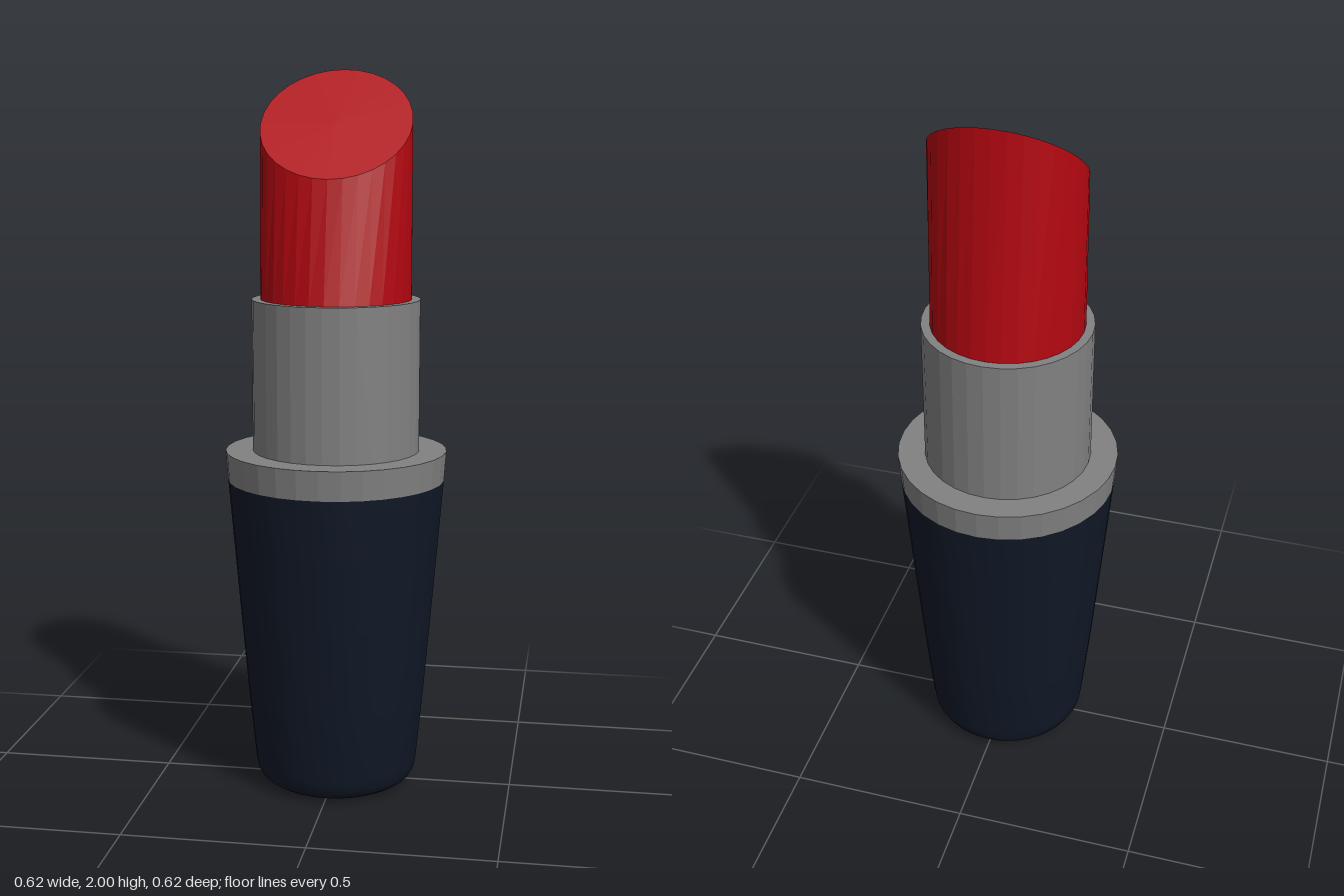
import * as THREE from 'three';
import { toCreasedNormals } from 'three/addons/utils/BufferGeometryUtils.js';

const SIDES = 32;

// Turned part from [radius, height] points, listed bottom to top
function turned(name, points, mat) {
  const lathe = new THREE.LatheGeometry(points.map(([r, y]) => new THREE.Vector2(r, y)), SIDES);
  const mesh = new THREE.Mesh(toCreasedNormals(lathe, 0.6), mat);
  mesh.name = name;
  return mesh;
}

// Stick: a round base lofted straight up to a slanted elliptical cut
function slantedStick(mat) {
  const bottom = 1.3, rim = 1.38, radius = 0.208, cutDepth = 0.147;
  const geometry = new THREE.CylinderGeometry(radius, radius, 1, SIDES, 2);
  const p = geometry.attributes.position;
  for (let i = 0; i < p.count; i++) {
    const level = p.getY(i);
    if (level > 0.25) {
      const z = p.getZ(i) * cutDepth / radius;
      p.setZ(i, z);
      p.setY(i, 1.855 - z * 0.145 / cutDepth);
    } else {
      p.setY(i, level < -0.25 ? bottom : rim);
    }
  }
  const mesh = new THREE.Mesh(geometry, mat);
  mesh.name = 'slantedStick';
  return mesh;
}

export function createModel() {
  const group = new THREE.Group();
  group.name = 'lipstick';
  const navy = new THREE.MeshStandardMaterial({ color: 0x101826 });
  const metal = new THREE.MeshStandardMaterial({ color: 0x818181, flatShading: true });
  const red = new THREE.MeshStandardMaterial({ color: 0xb20610, flatShading: true });

  // Tapered handle with a rounded foot
  group.add(turned('handle', [
    [0, 0], [0.165, 0], [0.192, 0.006], [0.213, 0.02], [0.225, 0.04], [0.23, 0.068],
    [0.251, 0.28], [0.27, 0.5], [0.287, 0.7], [0.302, 0.88], [0, 0.88],
  ], navy));

  // Collar band on top of the handle
  group.add(turned('collar', [[0, 0.88], [0.302, 0.88], [0.308, 0.962], [0, 0.962]], metal));

  // Sleeve holding the stick
  group.add(turned('sleeve', [[0, 0.962], [0.232, 0.962], [0.232, 1.382], [0, 1.382]], metal));

  group.add(slantedStick(red));
  return group;
}
